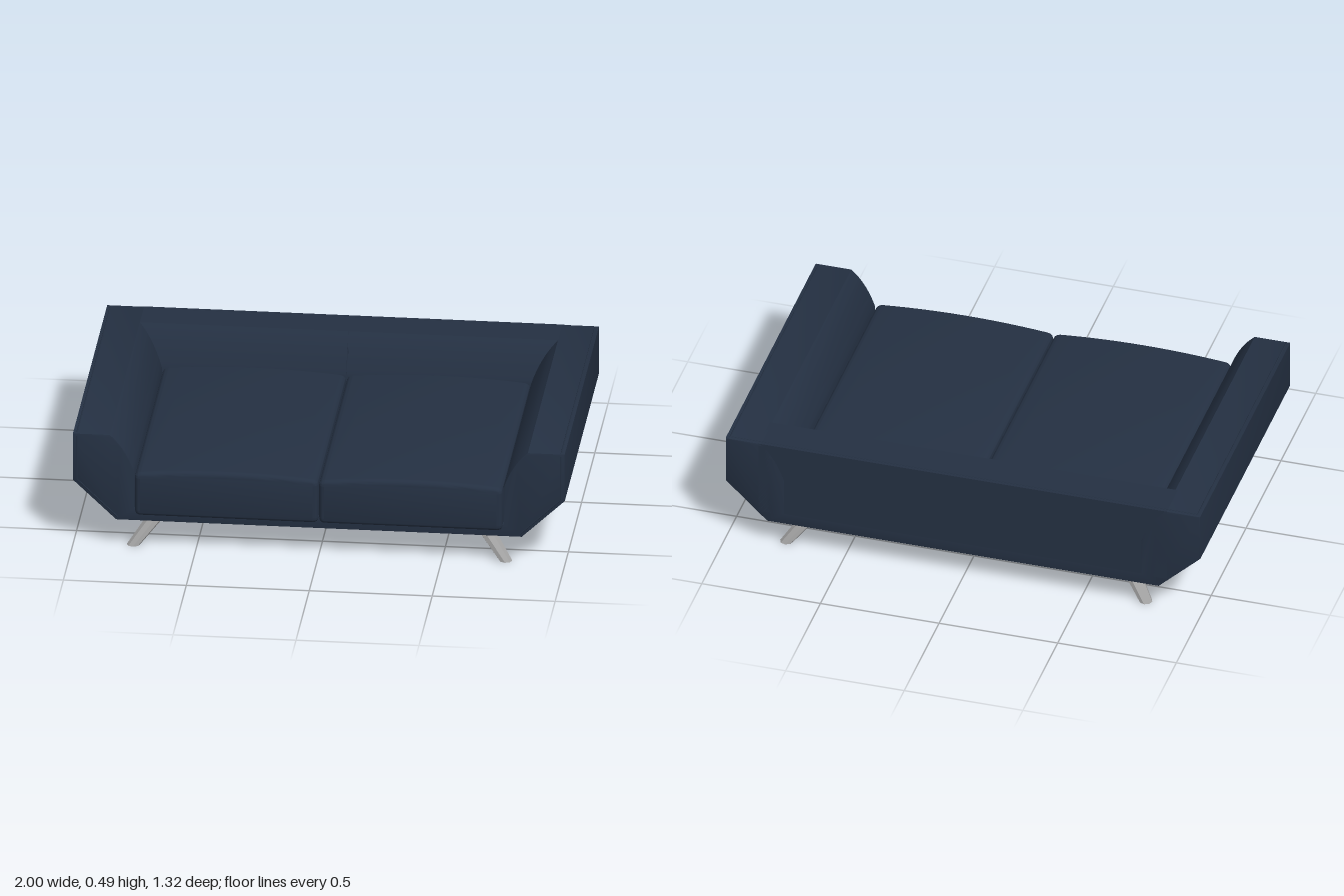
import * as THREE from 'three';
import { toCreasedNormals } from 'three/addons/utils/BufferGeometryUtils.js';

export function createModel() {
  const model = new THREE.Group();
  const upholstery = new THREE.MeshStandardMaterial({ color: 0x243042 });
  const metal = new THREE.MeshStandardMaterial({ color: 0xa0a0a0 });

  const add = (name, geometry, material = upholstery) => {
    const mesh = new THREE.Mesh(geometry, material);
    mesh.name = name;
    model.add(mesh);
    return mesh;
  };

  // Extrude a shape between two depths, with a rounded bevel inside its outline
  const extrude = (shape, from, to, bevel, steps) => {
    const geometry = new THREE.ExtrudeGeometry(shape, {
      depth: to - from - 2 * bevel, curveSegments: 12, bevelEnabled: bevel > 0,
      bevelThickness: bevel, bevelSize: bevel, bevelOffset: -bevel, bevelSegments: steps,
    });
    geometry.translate(0, 0, from + bevel);
    return toCreasedNormals(geometry, 0.6);
  };

  // Both arms and the floor between them, in one front outline
  const frame = new THREE.Shape();
  frame.moveTo(-0.825, 0.117);
  frame.lineTo(0.825, 0.117);
  frame.lineTo(1, 0.283);
  frame.lineTo(1, 0.49);
  frame.lineTo(0.85, 0.49);
  frame.quadraticCurveTo(0.785, 0.435, 0.75, 0.33);
  frame.lineTo(0.75, 0.17);
  frame.lineTo(-0.75, 0.17);
  frame.lineTo(-0.75, 0.33);
  frame.quadraticCurveTo(-0.785, 0.435, -0.85, 0.49);
  frame.lineTo(-1, 0.49);
  frame.lineTo(-1, 0.283);
  frame.closePath();
  add('armsAndBase', extrude(frame, -0.66, 0.638, 0.004, 2));

  // Backrest, its sloped face mitring into the arms
  const back = new THREE.Shape();
  back.moveTo(0.66, 0.16);
  back.lineTo(0.66, 0.49);
  back.lineTo(0.5, 0.49);
  back.quadraticCurveTo(0.445, 0.435, 0.41, 0.33);
  back.lineTo(0.41, 0.16);
  back.closePath();
  add('backrest', extrude(back, -0.86, 0.86, 0, 1).rotateY(Math.PI / 2));

  // Two crowned seat cushions
  const w = 0.373, r = 0.025;
  const cushion = new THREE.Shape();
  cushion.moveTo(-w + r, 0.145);
  cushion.lineTo(w - r, 0.145);
  cushion.quadraticCurveTo(w, 0.145, w, 0.145 + r);
  cushion.lineTo(w, 0.31);
  cushion.quadraticCurveTo(w, 0.33, w - r, 0.335);
  cushion.quadraticCurveTo(0, 0.367, -w + r, 0.335);
  cushion.quadraticCurveTo(-w, 0.33, -w, 0.31);
  cushion.lineTo(-w, 0.145 + r);
  cushion.quadraticCurveTo(-w, 0.145, -w + r, 0.145);
  for (const side of [-1, 1]) {
    add(side > 0 ? 'leftCushion' : 'rightCushion', extrude(cushion, -0.43, 0.659, 0.022, 5))
      .position.x = side * 0.3745;
  }

  // Piping along straight seams
  const piping = (name, points) => {
    const path = new THREE.CurvePath();
    const p = points.map((a) => new THREE.Vector3(...a));
    for (let i = 1; i < p.length; i++) path.add(new THREE.LineCurve3(p[i - 1], p[i]));
    add(name, new THREE.TubeGeometry(path, 40, 0.003, 6));
  };
  piping('backSeam', [[0, 0.488, -0.5], [0, 0.424, -0.45], [0, 0.33, -0.411]]);
  piping('rearTopPiping', [[-0.985, 0.489, -0.645], [0.985, 0.489, -0.645]]);
  for (const side of [-1, 1]) {
    piping('armTopPiping', [[side * 0.985, 0.489, -0.645], [side * 0.985, 0.489, 0.63]]);
    piping('armFrontPiping', [[side * 0.985, 0.48, 0.637], [side * 0.985, 0.29, 0.637],
      [side * 0.818, 0.13, 0.637]]);
  }

  // Rails under the base and splayed, tapered legs
  for (const front of [-1, 1]) {
    add('underRail', new THREE.BoxGeometry(1.28, 0.026, 0.035))
      .position.set(0, 0.108, front * 0.525);
    for (const side of [-1, 1]) {
      const geometry = new THREE.CylinderGeometry(0.038, 0.027, 0.122, 8).toNonIndexed();
      const p = geometry.attributes.position;
      for (let i = 0; i < p.count; i++) {
        const t = 0.5 - p.getY(i) / 0.122; // 0 at the top, 1 at the foot
        p.setX(i, p.getX(i) + side * (0.655 + 0.102 * t));
        p.setZ(i, p.getZ(i) + front * (0.53 + 0.08 * t));
      }
      geometry.translate(0, 0.061, 0);
      geometry.computeVertexNormals();
      add('leg', geometry, metal);
    }
  }
  return model;
}
